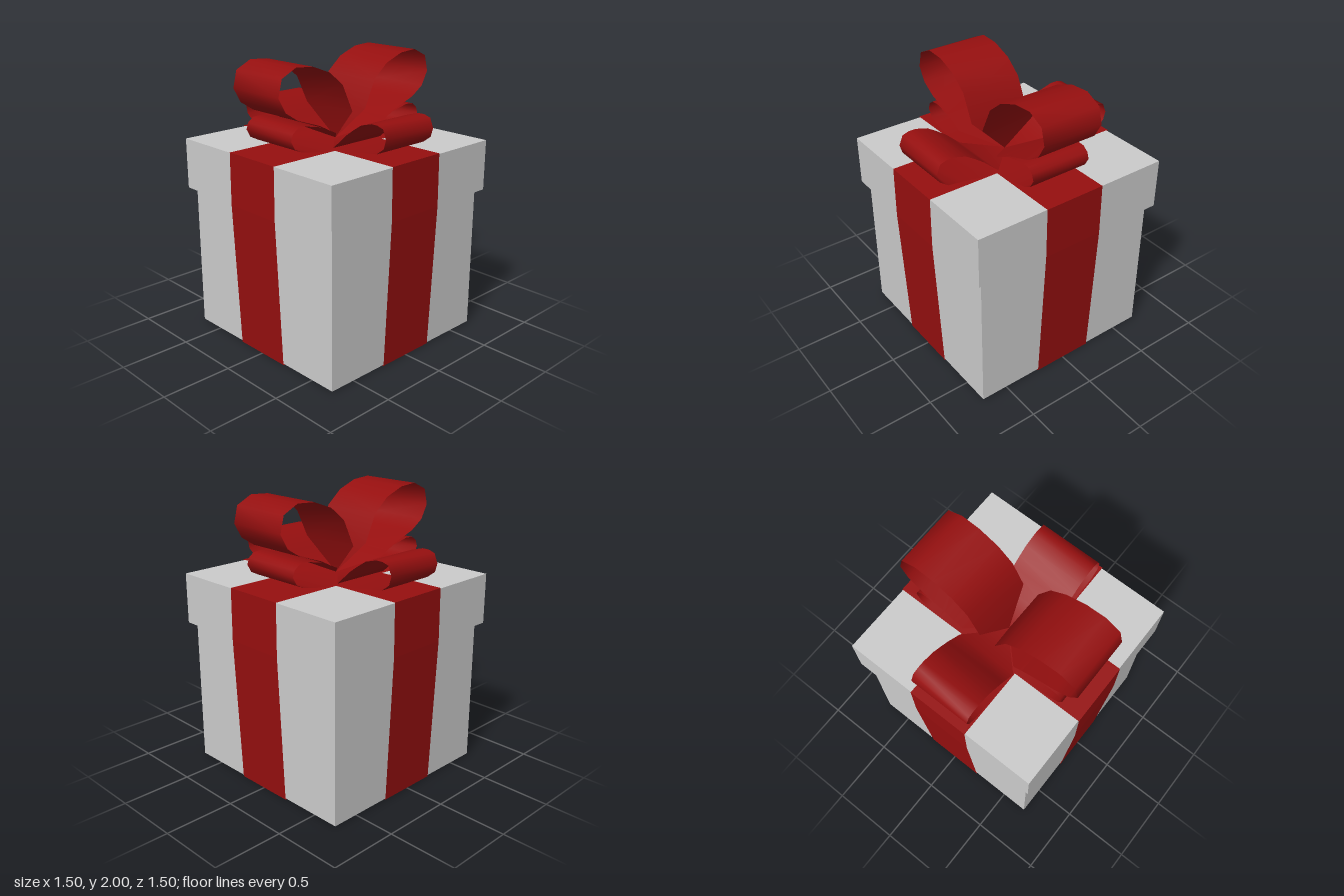
import * as THREE from 'three';

const HALF = 0.225; // half width of the ribbon
const grey = new THREE.MeshStandardMaterial({ color: 0xcccccc, side: THREE.DoubleSide });
const red = new THREE.MeshStandardMaterial({ color: 0x960f0f, side: THREE.DoubleSide });

// Sweeps a path in the xy plane along z, with a half width for each point.
function strip(path, halfWidth, smooth) {
  const pos = [], index = [];
  path.forEach(([x, y], i) => {
    const w = halfWidth(i);
    pos.push(x, y, w, x, y, -w);
    if (i < path.length - 1) {
      const a = 2 * i;
      index.push(a, a + 2, a + 3, a, a + 3, a + 1);
    }
  });
  let g = new THREE.BufferGeometry();
  g.setAttribute('position', new THREE.Float32BufferAttribute(pos, 3));
  g.setIndex(index);
  if (!smooth) g = g.toNonIndexed();
  g.computeVertexNormals();
  return g;
}

export function createModel() {
  const group = new THREE.Group();
  const add = (name, geometry, material) => {
    const mesh = new THREE.Mesh(geometry, material);
    mesh.name = name;
    group.add(mesh);
    return mesh;
  };

  // Box and overhanging lid
  add('boxBody', new THREE.BoxGeometry(1.394, 1.045, 1.394), grey).position.y = 0.528;
  add('boxLid', new THREE.BoxGeometry(1.48, 0.36, 1.48), grey).position.y = 1.226;

  // Two ribbons wrapped around the box, hanging straight from lid to base
  ['ribbonAcross', 'ribbonFrontToBack'].forEach((name, i) => {
    const top = 1.41 + i * 0.002, low = i * 0.002;
    const wrap = [[-0.703, low], [-0.748, 1.045], [-0.745, top],
      [0.745, top], [0.748, 1.045], [0.703, low], [-0.703, low]];
    add(name, strip(wrap, () => HALF, false), red).rotation.y = i * Math.PI / 2;
  });

  // Bow loops, pinched to a point at the knot
  const bigLoop = [[0, 1.42], [0.06, 1.65], [0.15, 1.84], [0.265, 1.935], [0.41, 1.99],
    [0.55, 2.0], [0.665, 1.945], [0.695, 1.83], [0.64, 1.73], [0.54, 1.665],
    [0.35, 1.6], [0.22, 1.53], [0, 1.42]];
  const lowLoop = [[0, 1.42], [0.21, 1.53], [0.34, 1.59], [0.48, 1.62], [0.545, 1.615],
    [0.585, 1.585], [0.6, 1.54], [0.57, 1.485], [0.51, 1.455], [0.41, 1.435],
    [0.25, 1.415], [0, 1.415]];
  const sideLoop = [[0, 1.42], [0.23, 1.43], [0.34, 1.53], [0.41, 1.58], [0.48, 1.625],
    [0.57, 1.65], [0.62, 1.65], [0.67, 1.635], [0.697, 1.57], [0.68, 1.51],
    [0.62, 1.465], [0.51, 1.45], [0.3, 1.415], [0, 1.415]];

  const addLoops = (names, path, turn, shift) => names.forEach((name, i) => {
    const pinch = (k) => (k === 0 || k === path.length - 1 ? 0 : HALF);
    const loop = add(name, strip(path, pinch, true), red);
    loop.rotation.y = turn + i * Math.PI;
    loop.position.z = shift;
  });
  addLoops(['bigLoopLeft', 'bigLoopRight'], bigLoop, 0, 0);
  addLoops(['lowLoopLeft', 'lowLoopRight'], lowLoop, 0, 0);
  addLoops(['loopBack', 'loopFront'], sideLoop, Math.PI / 2, -0.013);

  return group;
}
